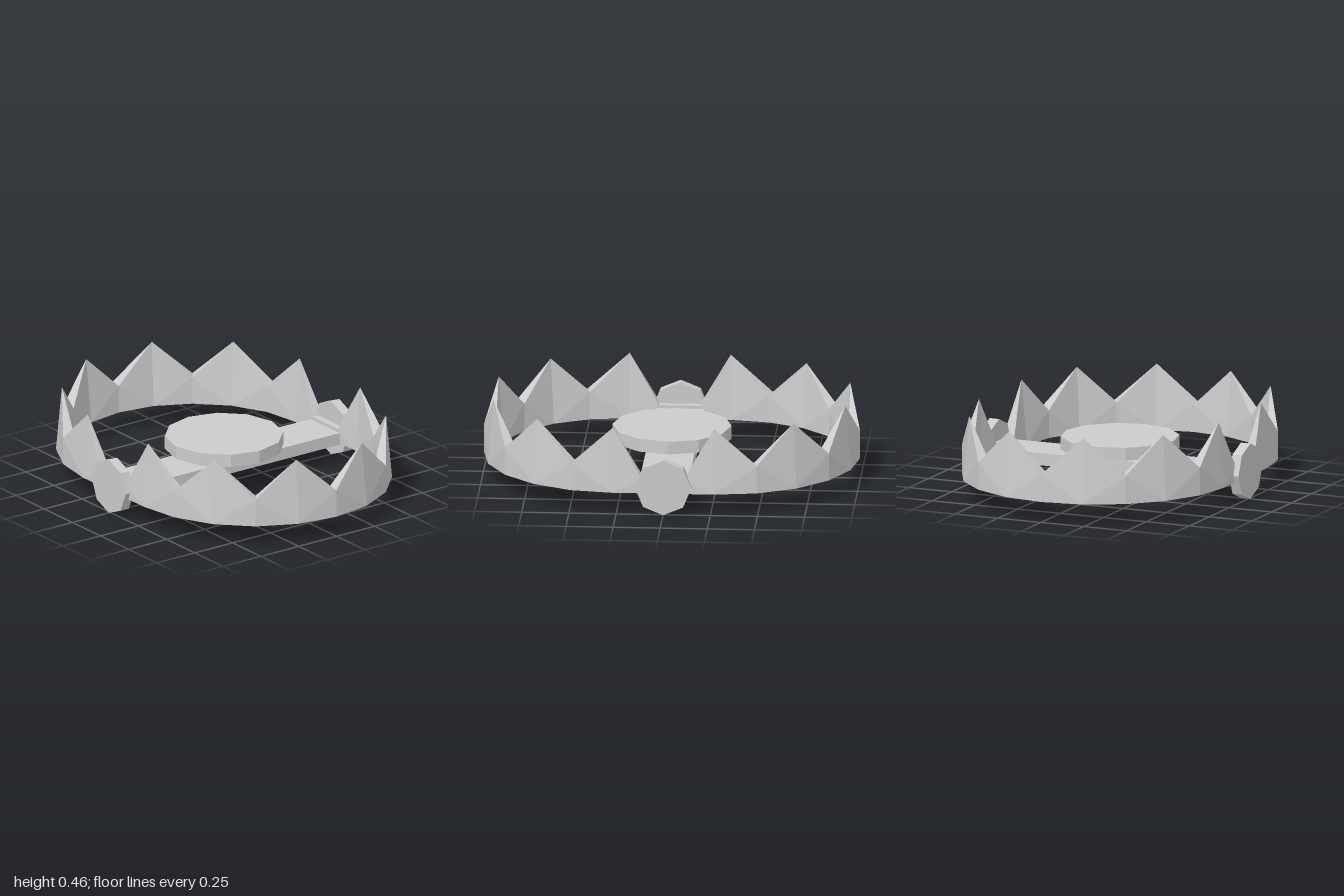
import * as THREE from 'three';

const material = new THREE.MeshStandardMaterial({ color: 0xcccccc, flatShading: true, side: THREE.DoubleSide });

function addPart(parent, name, geometry, x = 0, y = 0, z = 0) {
  const mesh = new THREE.Mesh(geometry, material);
  mesh.name = name;
  mesh.position.set(x, y, z);
  parent.add(mesh);
  return mesh;
}

// Half-ring jaw: cross-sections swept round a semicircle, alternating valleys and pointed teeth
function jawGeometry() {
  const OUTER = 0.73, INNER = 0.667, CENTRE = 0.268;
  const BASE = 0.11, VALLEY = 0.26, PEAK = 0.462, END = 0.185;
  const sections = [];

  // corners in order: bottom outer, top outer, top inner, bottom inner
  const addSection = (angle, z0, top, peak) => {
    const at = (r, y) => new THREE.Vector3(r * Math.sin(angle), y, z0 + r * Math.cos(angle));
    const mid = (OUTER + INNER) / 2;
    sections.push({
      peak,
      pts: [at(OUTER, BASE), at(peak ? mid : OUTER, top), at(peak ? mid : INNER, top), at(INNER, BASE)],
    });
  };

  const quarter = Math.PI / 2;
  addSection(-quarter, 0, END, false);
  addSection(-quarter, 0.11, END, false);
  for (let k = -5; k <= 5; k++) {
    const peak = k % 2 !== 0;
    addSection(k * Math.PI / 10, CENTRE, peak ? PEAK : VALLEY, peak);
  }
  addSection(quarter, 0.11, END, false);
  addSection(quarter, 0, END, false);

  const positions = [];
  const triangle = (a, b, c) => {
    if (a.equals(b) || b.equals(c) || c.equals(a)) return;
    for (const p of [a, b, c]) positions.push(p.x, p.y, p.z);
  };
  for (let i = 0; i < sections.length - 1; i++) {
    const s = sections[i], t = sections[i + 1];
    for (let j = 0; j < 4; j++) {
      const n = (j + 1) % 4;
      const a = s.pts[j], b = t.pts[j], c = t.pts[n], d = s.pts[n];
      // creases run from each valley down to the foot of the tooth
      if (s.peak !== (j === 2)) {
        triangle(a, b, c);
        triangle(a, c, d);
      } else {
        triangle(a, b, d);
        triangle(b, c, d);
      }
    }
  }
  const geometry = new THREE.BufferGeometry();
  geometry.setAttribute('position', new THREE.Float32BufferAttribute(positions, 3));
  geometry.computeVertexNormals();
  return geometry;
}

export function createModel() {
  const model = new THREE.Group();
  model.name = 'jawTrap';

  // Toothed jaws, front and back
  const jaw = jawGeometry();
  addPart(model, 'frontJaw', jaw);
  addPart(model, 'backJaw', jaw).rotation.y = Math.PI;

  // Crossbar with the trigger plate on a short post
  addPart(model, 'crossbar', new THREE.BoxGeometry(1.41, 0.066, 0.26), 0, 0.135, 0);
  addPart(model, 'platePost', new THREE.CylinderGeometry(0.1, 0.1, 0.06, 12), 0, 0.185, 0);
  addPart(model, 'triggerPlate', new THREE.CylinderGeometry(0.316, 0.316, 0.07, 12), 0, 0.24, 0);

  // Octagonal hinge hubs
  const hub = new THREE.CylinderGeometry(0.15, 0.15, 0.055, 8).rotateZ(Math.PI / 2);
  for (const side of [-1, 1]) {
    addPart(model, side > 0 ? 'leftHinge' : 'rightHinge', hub, side * 0.7325, 0.15, 0);
  }
  return model;
}
